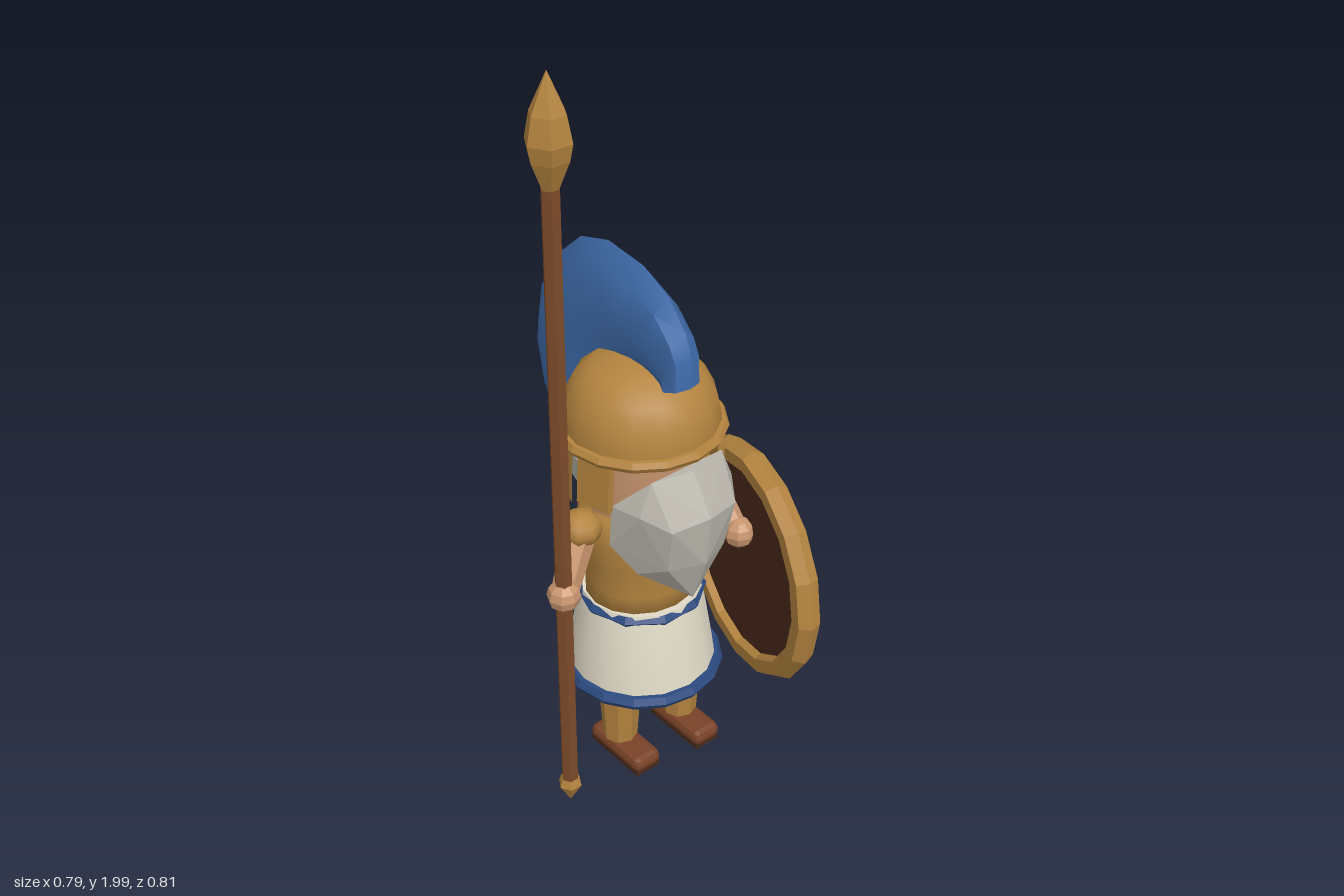
import * as THREE from 'three';
import { toCreasedNormals } from 'three/addons/utils/BufferGeometryUtils.js';
import { ConvexGeometry } from 'three/addons/geometries/ConvexGeometry.js';
import { RoundedBoxGeometry } from 'three/addons/geometries/RoundedBoxGeometry.js';

const V = (x, y, z) => new THREE.Vector3(x, y, z);
const mat = (color, flatShading = false, side = THREE.FrontSide) =>
  new THREE.MeshStandardMaterial({ color, flatShading, side });

const BRONZE = 0xb4843f, BLUE = 0x3f6cab, NAVY = 0x2b4a80, CLOTH = 0xe2dbc8, HAIR = 0xb9b5ac,
  SKIN = 0xc9966f, WOOD = 0x7d4b2a, LEATHER = 0x7a4328, DARK = 0x4a2a1c;

function add(parent, name, geometry, material, x = 0, y = 0, z = 0) {
  const mesh = new THREE.Mesh(geometry, material);
  mesh.name = name;
  mesh.position.set(x, y, z);
  parent.add(mesh);
  return mesh;
}

const lathe = (pts, sides) =>
  new THREE.LatheGeometry(pts.map(([r, y]) => new THREE.Vector2(r, y)), sides);
const creased = (geo, angle = 0.6) => toCreasedNormals(geo, angle);
const ring = (R, r, tube, sides) => new THREE.TorusGeometry(R, r, tube, sides);

// Tapered limb between two points
function limb(parent, name, a, b, ra, rb, material, sides = 6) {
  const m = add(parent, name, new THREE.CylinderGeometry(rb, ra, a.distanceTo(b), sides), material);
  m.position.copy(a).lerp(b, 0.5);
  m.quaternion.setFromUnitVectors(V(0, 1, 0), b.clone().sub(a).normalize());
  return m;
}

// Crest: ridged cross-sections swept between an inner and an outer [z, y] line
function crestGeometry() {
  const inner = [[0.12, 1.16], [0.11, 1.17], [0.09, 1.18], [0.05, 1.19], [0.0, 1.19], [-0.06, 1.18],
    [-0.11, 1.15], [-0.15, 1.11], [-0.18, 1.05], [-0.19, 0.99], [-0.195, 0.93], [-0.195, 0.87], [-0.195, 0.83]];
  const outer = [[0.18, 1.175], [0.18, 1.26], [0.16, 1.31], [0.1, 1.38], [0.01, 1.425], [-0.115, 1.44],
    [-0.22, 1.41], [-0.325, 1.315], [-0.385, 1.21], [-0.405, 1.1], [-0.375, 0.97], [-0.31, 0.87], [-0.24, 0.825]];
  const section = [[-0.035, 0], [-0.048, 0.3], [-0.036, 0.8], [0, 1], [0.036, 0.8], [0.048, 0.3], [0.035, 0]];
  const n = section.length, pos = [], idx = [];
  inner.forEach(([z, y], i) => {
    for (const [x, t] of section)
      pos.push(x, y + (outer[i][1] - y) * t, z + (outer[i][0] - z) * t);
  });
  for (let i = 0; i < inner.length - 1; i++)
    for (let j = 0; j < n; j++) {
      const a = i * n + j, b = i * n + (j + 1) % n;
      idx.push(a, b, a + n, b, b + n, a + n);
    }
  const last = (inner.length - 1) * n;
  for (let j = 1; j < n - 1; j++) idx.push(0, j + 1, j, last, last + j, last + j + 1);
  const g = new THREE.BufferGeometry();
  g.setAttribute('position', new THREE.Float32BufferAttribute(pos, 3));
  g.setIndex(idx);
  return creased(g, 0.7);
}

function buildHead() {
  const g = new THREE.Group();
  g.name = 'head';
  add(g, 'face', new THREE.CylinderGeometry(0.165, 0.15, 0.22, 12), mat(SKIN), 0, 0.91, 0);
  add(g, 'helmetDome', lathe([[0.195, 0.99], [0.195, 1.03], [0.185, 1.08], [0.16, 1.13], [0.12, 1.165],
    [0.06, 1.183], [0, 1.186]], 16), mat(BRONZE, false, THREE.DoubleSide));
  add(g, 'helmetBrim', ring(0.198, 0.016, 6, 16), mat(BRONZE, true), 0, 1.0, 0).rotation.x = Math.PI / 2;
  add(g, 'neckGuard', new THREE.CylinderGeometry(0.188, 0.195, 0.17, 8, 1, true, Math.PI / 2 + 0.15, Math.PI - 0.3),
    mat(BRONZE, false, THREE.DoubleSide), 0, 0.915, 0);
  for (const s of [-1, 1])
    add(g, 'cheekGuard', new THREE.BoxGeometry(0.018, 0.135, 0.095), mat(BRONZE, true), s * 0.183, 0.928, 0.052)
      .rotation.set(0, -s * 0.22, s * 0.06);
  add(g, 'crest', crestGeometry(), mat(BLUE));
  add(g, 'hair', new THREE.SphereGeometry(0.165, 10, 7), mat(HAIR, true), 0, 0.88, -0.02).scale.y = 0.85;

  // Beard: faceted hull, mirrored about the centre line
  const half = [[0.11, 0.955, 0.17], [0.1, 0.84, 0.235], [0.145, 0.87, 0.17], [0.165, 0.87, 0.09],
    [0.165, 0.75, 0.08], [0.09, 0.71, 0.21], [0.12, 0.67, 0.13]];
  const points = [V(0, 0.955, 0.195), V(0, 0.85, 0.258), V(0, 0.71, 0.245), V(0, 0.58, 0.2), V(0, 0.62, 0.13)];
  for (const [x, y, z] of half) points.push(V(x, y, z), V(-x, y, z));
  add(g, 'beard', new ConvexGeometry(points), mat(HAIR, true));
  return g;
}

function buildBody() {
  const g = new THREE.Group();
  g.name = 'body';
  add(g, 'cuirass', lathe([[0, 0.48], [0.15, 0.48], [0.148, 0.56], [0.156, 0.64], [0.168, 0.72],
    [0.16, 0.79], [0.11, 0.825], [0, 0.83]], 16), mat(BRONZE)).scale.z = 0.92;
  add(g, 'skirt', creased(lathe([[0, 0.265], [0.195, 0.265], [0.182, 0.36], [0.166, 0.46], [0.154, 0.515],
    [0, 0.515]], 16)), mat(CLOTH));
  add(g, 'skirtHem', ring(0.194, 0.02, 6, 16), mat(NAVY, true), 0, 0.27, 0).rotation.x = Math.PI / 2;
  add(g, 'belt', ring(0.152, 0.016, 5, 10), mat(NAVY, true), 0, 0.497, 0).rotation.x = Math.PI / 2;

  for (const s of [-1, 1]) {
    const x = s * 0.093, z = 0.035 + s * 0.012;
    add(g, 'greave', new THREE.CylinderGeometry(0.058, 0.046, 0.2, 8), mat(BRONZE, true), x, 0.16, z);
    add(g, 'ankle', new THREE.CylinderGeometry(0.036, 0.036, 0.05, 8), mat(SKIN, true), x, 0.06, z);
    add(g, 'shoe', new RoundedBoxGeometry(0.085, 0.045, 0.2, 1, 0.018), mat(LEATHER, true), x, 0.035, z + 0.022);
    add(g, 'sole', new THREE.BoxGeometry(0.075, 0.016, 0.19), mat(DARK, true), x, 0.014, z + 0.022);
    const pad = add(g, 'shoulderPad', new THREE.SphereGeometry(0.055, 8, 6), mat(BRONZE), s * 0.19, 0.77, 0);
    pad.scale.set(1, 0.85, 1);
  }
  return g;
}

function buildArms() {
  const g = new THREE.Group();
  g.name = 'arms';
  const skin = mat(SKIN, true);
  const arms = {
    right: [V(-0.22, 0.76, 0), V(-0.295, 0.625, 0.03), V(-0.345, 0.685, 0.095)],
    left: [V(0.165, 0.76, 0), V(0.235, 0.65, 0.005), V(0.235, 0.585, 0.08)],
  };
  for (const [side, [shoulder, elbow, hand]] of Object.entries(arms)) {
    limb(g, side + 'UpperArm', shoulder, elbow, 0.042, 0.034, skin);
    limb(g, side + 'Forearm', elbow, hand, 0.034, 0.027, skin);
    add(g, side + 'Elbow', new THREE.SphereGeometry(0.034, 6, 5), skin).position.copy(elbow);
    add(g, side + 'Hand', new THREE.SphereGeometry(0.042, 8, 6), skin).position.copy(hand);
  }
  return g;
}

function buildSpear() {
  const g = new THREE.Group();
  g.name = 'spear';
  add(g, 'spearShaft', new THREE.CylinderGeometry(0.022, 0.022, 1.67, 6), mat(WOOD, true), 0, 0.91, 0);
  add(g, 'spearHead', lathe([[0, 1.735], [0.016, 1.735], [0.046, 1.81], [0.054, 1.85], [0.042, 1.91], [0, 2.0]], 6),
    mat(BRONZE, true));
  add(g, 'spearButt', lathe([[0, 0.012], [0.031, 0.07], [0.024, 0.092], [0, 0.092]], 6), mat(BRONZE, true));
  g.position.set(-0.345, 0, 0.095);
  g.rotation.y = Math.PI / 6;
  return g;
}

// Round shield facing its own +z, then turned to the left
function buildShield() {
  const g = new THREE.Group();
  g.name = 'shield';
  const disc = (name, pts, material) => {
    add(g, name, lathe(pts, 16), material).rotation.x = Math.PI / 2;
  };
  disc('shieldBack', [[0, -0.012], [0.3, -0.012], [0.3, 0]], mat(DARK, true));
  disc('shieldFace', [[0.3, 0], [0.29, 0.02], [0.2, 0.045], [0.09, 0.06], [0, 0.06]], mat(BLUE, true));
  disc('shieldBoss', [[0.097, 0.05], [0.093, 0.08], [0.06, 0.102], [0, 0.11]], mat(BRONZE, true));
  add(g, 'shieldRim', ring(0.299, 0.036, 6, 16), mat(BRONZE, true));
  add(g, 'shieldInnerRing', ring(0.19, 0.018, 5, 16), mat(BRONZE, true), 0, 0, 0.047);
  g.position.set(0.275, 0.485, 0.08);
  g.rotation.y = 1.32;
  return g;
}

export function createModel() {
  const model = new THREE.Group();
  model.name = 'spearman';
  const figure = new THREE.Group();
  figure.name = 'figure';
  figure.position.x = -0.028;
  figure.add(buildHead(), buildBody());
  model.add(figure, buildArms(), buildSpear(), buildShield());
  return model;
}
